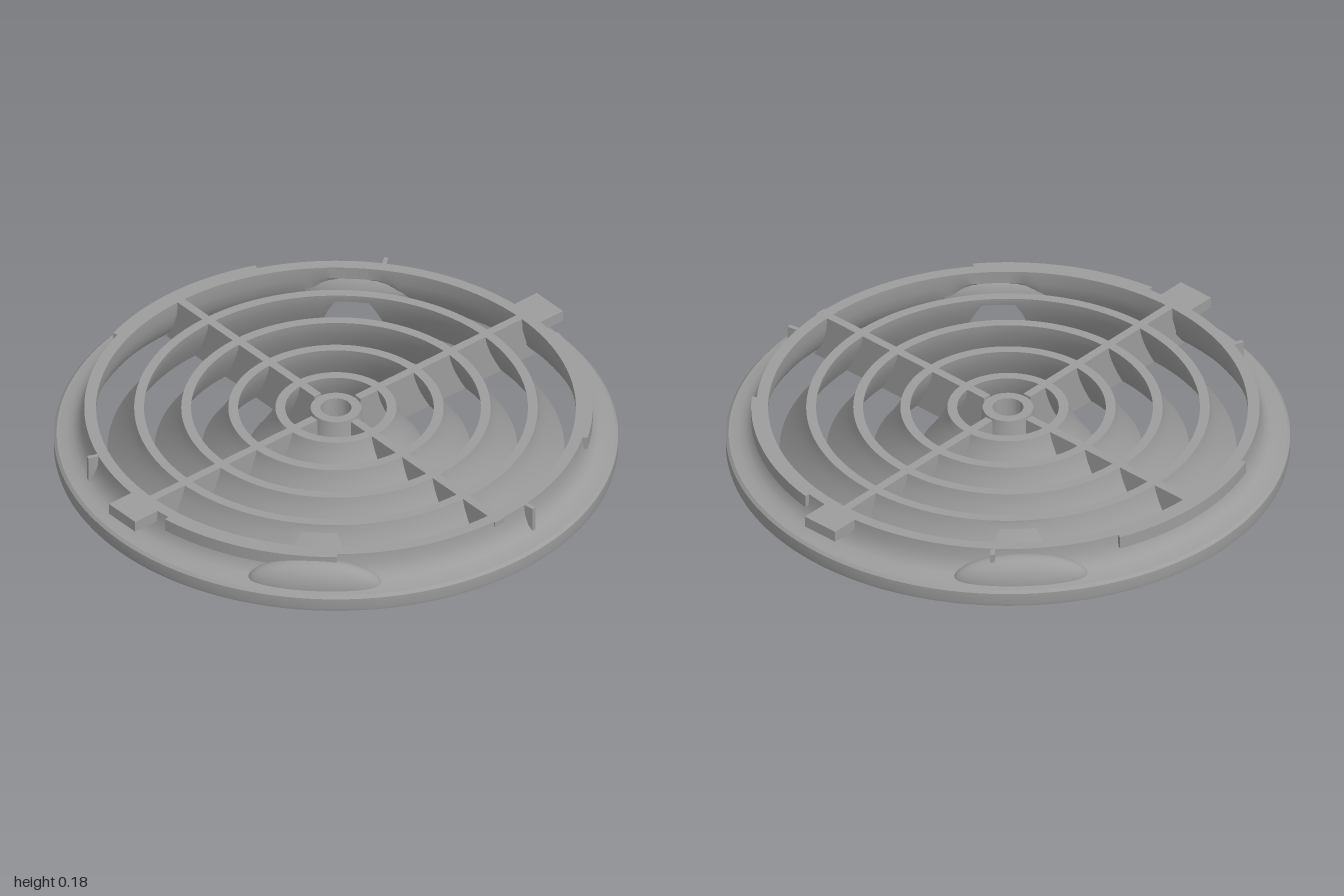
import * as THREE from 'three';
import { toCreasedNormals } from 'three/addons/utils/BufferGeometryUtils.js';

const H = 0.18;
const RECESS_ANGLES = [-Math.PI / 4, Math.PI * 3 / 4]; // measured from +x towards +z

export function createModel() {
  const model = new THREE.Group();
  model.name = 'ventGrille';
  const grey = new THREE.MeshStandardMaterial({ color: 0x9c9c9c });
  grey.name = 'grey plastic';

  const add = (name, geometry, parent = model) => {
    const mesh = new THREE.Mesh(geometry, grey);
    mesh.name = name;
    parent.add(mesh);
    return mesh;
  };

  // Closed profile (counter-clockwise) turned around y; warp may move each vertex
  const turned = (profile, warp, segments = 180) => {
    const points = [...profile, profile[0]].map(([r, y]) => new THREE.Vector2(r, y));
    const g = new THREE.LatheGeometry(points, segments);
    const p = g.attributes.position;
    if (warp) {
      for (let i = 0; i < p.count; i++) {
        const x = p.getX(i), z = p.getZ(i), r = Math.hypot(x, z);
        const [nr, ny] = warp(r, p.getY(i), Math.atan2(z, x), i % points.length);
        p.setXYZ(i, x * nr / r, ny, z * nr / r);
      }
    }
    return toCreasedNormals(g, 0.55);
  };

  // Angular distance from the nearest finger recess
  const fromRecess = (a) => Math.min(...RECESS_ANGLES.map((c) => {
    const d = a - c;
    return Math.abs(Math.atan2(Math.sin(d), Math.cos(d)));
  }));

  // Flange and upright collar, hollowed from below at the finger recesses
  const collar = [
    [0.92, 0], [0.95, 0], [0.97, 0], [0.985, 0], [0.997, 0.008], [1, 0.02], [1, 0.06], [0.99, 0.07],
    [0.955, 0.074], [0.93, 0.084], [0.912, 0.1], [0.903, 0.12], [0.895, 0.14], [0.892, H],
    [0.85, H], [0.853, 0.13], [0.868, 0.08], [0.89, 0.035],
  ];
  const hollow = { 0: 0.11, 1: 0.1, 2: 0.05, 16: 0.122, 17: 0.116, 18: 0.11 };
  add('flangeAndCollar', turned(collar, (r, y, a, i) => {
    const t = fromRecess(a) / 0.24;
    if (!(i in hollow) || t >= 1) return [r, y];
    return [r, Math.max(y, hollow[i] * Math.sqrt(1 - t * t))];
  }));

  // Rounded covers above the finger recesses
  RECESS_ANGLES.forEach((a) => {
    const dome = new THREE.SphereGeometry(1, 40, 16, 0, Math.PI * 2, 0, Math.PI / 2);
    dome.scale(0.065, 0.095, 0.24);
    const cover = add('recessCover', dome);
    cover.position.set(0.905 * Math.cos(a), 0.066, 0.905 * Math.sin(a));
    cover.rotation.y = -a;
  });

  // Flared louvre rings, the outermost one cut back beside the recesses
  const louvres = new THREE.Group();
  louvres.name = 'louvres';
  model.add(louvres);
  const steps = 8;
  for (let k = 0; k < 4; k++) {
    const top = 0.18 + k * 0.1667;
    const flare = (y) => Math.pow(Math.max(0, 1 - y / H), 1.4);
    const outer = (y) => top + 0.035 + 0.095 * flare(y);
    const inner = (y) => top + 0.075 * flare(y);
    const profile = [];
    for (let i = 0; i <= steps; i++) profile.push([outer(H * i / steps), H * i / steps]);
    for (let i = steps; i >= 0; i--) profile.push([inner(H * i / steps), H * i / steps]);
    const cut = (r, y, a, i) => {
      const t = fromRecess(a) / 0.16;
      if (t >= 1) return [r, y];
      const base = 0.15 * Math.min(1, 1.6 * (1 - t * t));
      const ny = base + (H - base) * y / H;
      const outside = i <= steps || i === profile.length;
      return [outside ? outer(ny) : inner(ny), ny];
    };
    add('louvreRing', turned(profile, k === 3 ? cut : null), louvres);
  }

  // Central hub with a stepped bore
  add('hub', turned([
    [0.014, 0], [0.136, 0], [0.118, 0.035], [0.105, 0.08], [0.095, 0.13], [0.09, H],
    [0.055, H], [0.053, 0.09], [0.03, 0.09], [0.03, 0.05], [0.014, 0.05],
  ], null, 64));

  // Four spokes tying the rings together
  const spokeShape = new THREE.Shape([[0.1, 0.001], [0.912, 0.001], [0.87, 0.06], [0.865, H], [0.1, H]]
    .map(([x, y]) => new THREE.Vector2(x, y)));
  const spokeGeometry = new THREE.ExtrudeGeometry(spokeShape, { depth: 0.032, bevelEnabled: false });
  spokeGeometry.translate(0, 0, -0.016);
  for (let i = 0; i < 4; i++) add('spoke', spokeGeometry).rotation.y = i * Math.PI / 2;

  // Locking bands and upright fins, three of each around the collar
  const band = new THREE.Shape();
  const a0 = THREE.MathUtils.degToRad(10), a1 = THREE.MathUtils.degToRad(52);
  band.absarc(0, 0, 0.91, a0, a1, false);
  band.absarc(0, 0, 0.87, a1, a0, true);
  const bandExtrusion = new THREE.ExtrudeGeometry(band, { depth: 0.048, bevelEnabled: false, curveSegments: 24 });
  bandExtrusion.rotateX(Math.PI / 2).translate(0, H, 0);
  const bandGeometry = toCreasedNormals(bandExtrusion, 0.5);
  const finGeometry = new THREE.BoxGeometry(0.055, 0.105, 0.016);
  for (let i = 0; i < 3; i++) {
    const turn = i * Math.PI * 2 / 3;
    add('lockingBand', bandGeometry).rotation.y = -turn;
    const a = THREE.MathUtils.degToRad(81.3) + turn;
    const fin = add('fin', finGeometry);
    fin.position.set(0.903 * Math.cos(a), 0.127, 0.903 * Math.sin(a));
    fin.rotation.y = -a;
  }

  // Side tabs and the small front pip
  for (const s of [-1, 1]) {
    add('sideTab', new THREE.BoxGeometry(0.13, 0.042, 0.144)).position.set(s * 0.928, 0.159, 0);
  }
  add('frontPip', new THREE.BoxGeometry(0.045, 0.018, 0.04)).position.set(0, 0.171, 0.878);

  return model;
}
